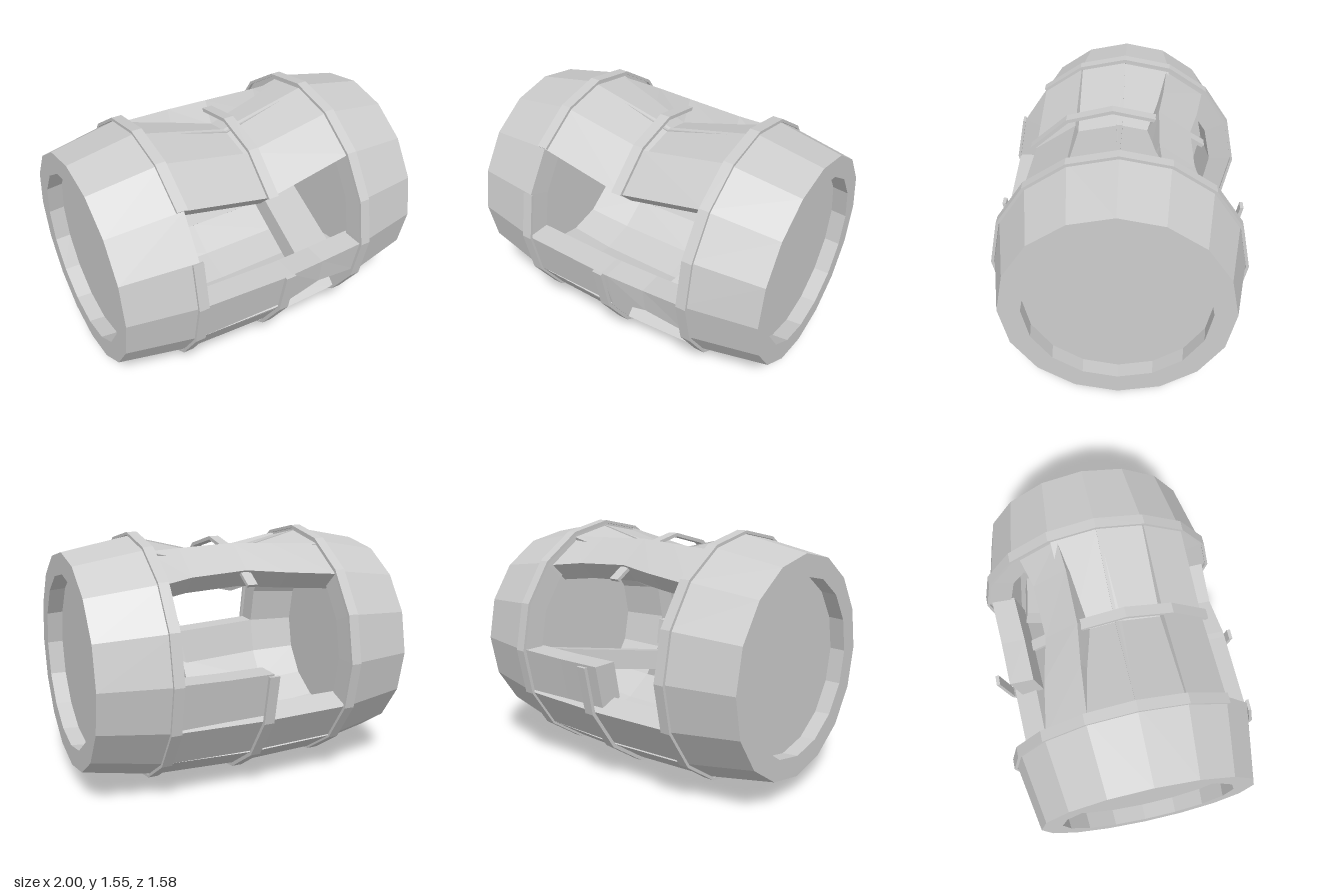
import * as THREE from 'three';

const CY = 0.79;              // height of the barrel axis
const STEP = Math.PI / 8;     // sixteen staves
const material = new THREE.MeshStandardMaterial({ color: 0xcccccc, flatShading: true, side: THREE.DoubleSide });

function mesh(name, geometry, parent) {
  const m = new THREE.Mesh(geometry, material);
  m.name = name;
  parent.add(m);
  return m;
}

// Joins four-cornered cross-sections into a capped bar
function loft(sections) {
  const pos = [], index = [];
  sections.forEach(s => s.forEach(p => pos.push(...p)));
  for (let s = 0; s < sections.length - 1; s++) {
    for (let j = 0; j < 4; j++) {
      const a = s * 4 + j, b = s * 4 + (j + 1) % 4;
      index.push(a, b, b + 4, a, b + 4, a + 4);
    }
  }
  const e = (sections.length - 1) * 4;
  index.push(0, 2, 1, 0, 3, 2, e, e + 1, e + 2, e, e + 2, e + 3);
  const g = new THREE.BufferGeometry();
  g.setAttribute('position', new THREE.Float32BufferAttribute(pos, 3));
  g.setIndex(index);
  const flat = g.toNonIndexed();
  flat.computeVertexNormals();
  return flat;
}

// Stave number k, counted from the top towards the front.
// Each station: [x, dy, dz, trim of the second edge in stave widths]
function stave(name, k, stations, parent) {
  const sections = stations.map(([x, dy = 0, dz = 0, trim = 0]) => {
    const t = 1 - Math.abs(x) / 0.55;
    const R = 0.75 + 0.018 * t, r = 0.6 + 0.012 * t;
    const a0 = k * STEP, a1 = (k + 1 - trim) * STEP;
    const at = (rad, a) => [x, CY + rad * Math.cos(a) + dy, rad * Math.sin(a) + dz];
    return [at(R, a0), at(R, a1), at(r, a1), at(r, a0)];
  });
  mesh(name, loft(sections), parent);
}

// Flat iron band through points [y, z], with inner points scaled towards the axis
function band(name, x, points, thickness, parent) {
  const w = 0.032;
  const sections = points.map(([y, z]) => {
    const f = 1 - thickness / Math.hypot(y - CY, z);
    const yi = CY + (y - CY) * f, zi = z * f;
    return [[x + w, y, z], [x - w, y, z], [x - w, yi, zi], [x + w, yi, zi]];
  });
  mesh(name, loft(sections), parent);
}

function arc(R, from, to) {
  const pts = [];
  for (let k = from; k <= to; k++) pts.push([CY + R * Math.cos(k * STEP), R * Math.sin(k * STEP)]);
  return pts;
}

export function createModel() {
  const barrel = new THREE.Group();
  barrel.name = 'brokenBarrel';

  // Intact ends: rim, tapering wall and recessed head
  const profile = [
    [0, 0.86], [0.555, 0.86], [0.6, 0.55], [0.75, 0.555],
    [0.665, 1], [0.535, 1], [0.545, 0.9], [0, 0.9],
  ].map(([r, y]) => new THREE.Vector2(r, y));
  for (const side of [1, -1]) {
    const g = new THREE.LatheGeometry(profile, 16);
    g.rotateZ(-side * Math.PI / 2);
    g.translate(0, CY, 0);
    mesh(side > 0 ? 'leftEnd' : 'rightEnd', g, barrel);
  }

  // Whole staves along the bottom
  for (let k = 6; k <= 9; k++) stave('bottomStave', k, [[-0.56], [0], [0.56]], barrel);

  // Sagging staves on top
  stave('saggingStave', 0, [[-0.56, -0.015], [0, -0.17], [0.56, -0.015]], barrel);
  stave('saggingStave', 1, [[-0.56], [0, -0.125, -0.005], [0.56]], barrel);
  stave('saggingStave', 15, [[-0.56, -0.02], [0, -0.17, 0.04], [0.56, -0.02, 0.01]], barrel);
  stave('saggingStave', 14, [
    [-0.56, -0.02, 0.015], [-0.25, -0.005, 0.07, 0.1], [0, 0.01, 0.13, 0.2],
    [0.35, 0, 0.11, 0.15], [0.56, -0.02, 0.05],
  ], barrel);

  // Front: one bent stave, and one snapped off below it
  stave('bentStave', 4, [
    [-0.56], [0, -0.03, -0.02], [0.04, -0.03, -0.02, 0.15], [0.28, -0.05, -0.04, 0.42], [0.56, -0.02, -0.02, 0.2],
  ], barrel);
  stave('frontBrokenStave', 5, [[-0.56], [0.03]], barrel);

  // Back: upper stave snapped at the middle, lower one whole
  stave('backBrokenStave', 11, [[-0.04, -0.01, 0.06], [0.25, -0.01, 0.045], [0.56, 0, 0.02]], barrel);
  stave('backLowerStave', 10, [[-0.56, 0, 0.01], [0, 0, 0.01], [0.56]], barrel);

  // Loose plank fallen across the inside, its front end lower
  const plank = mesh('fallenPlank', new THREE.BoxGeometry(0.28, 0.13, 1.06), barrel);
  plank.position.set(0.485, 0.59, 0.01);
  plank.lookAt(0.4, 0.49, 0.53);
  plank.rotateZ(-0.14);

  // Outer hoops, the right one snapped at the front
  band('leftHoop', 0.568, arc(0.765, 0, 16), 0.018, barrel);
  band('rightHoop', -0.568, arc(0.765, 3, 18), 0.018, barrel);

  // Middle hoop: lower half in place, upper piece fallen onto the staves
  band('middleHoop', 0, arc(0.79, 4, 12), 0.022, barrel);
  band('fallenHoop', 0, [[1.27, -0.5], [1.44, -0.23], [1.5, 0.06], [1.43, 0.34], [1.23, 0.57]], 0.022, barrel);

  return barrel;
}
